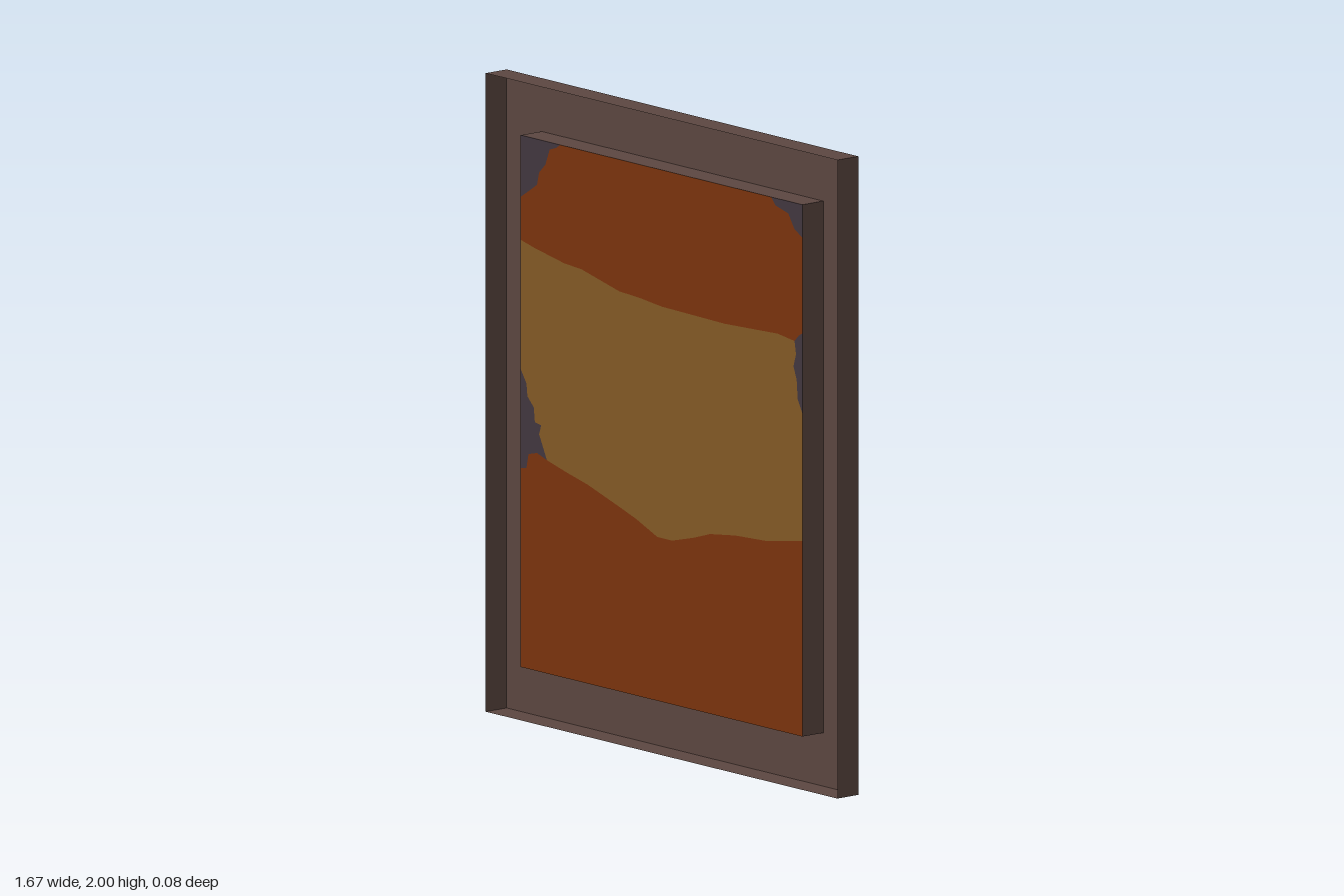
import * as THREE from 'three';
import { mergeGeometries } from 'three/addons/utils/BufferGeometryUtils.js';

const D = 0.042;                 // half depth of the frame
const X = 0.667, B = 0.167, T = 1.833; // canvas half width, bottom, top

const material = (name, color) => {
  const m = new THREE.MeshStandardMaterial({ color, side: THREE.DoubleSide });
  m.name = name;
  return m;
};

const shapeOf = (pts) => new THREE.Shape(pts.map(([x, y]) => new THREE.Vector2(x, y)));
const rect = (w, b, t) => [[-w, b], [w, b], [w, t], [-w, t]];

// Four walls running from back to front around a rectangle
function walls(w, b, t) {
  const h = t - b, mid = (b + t) / 2;
  return [
    new THREE.PlaneGeometry(2 * D, h).rotateY(Math.PI / 2).translate(w, mid, 0),
    new THREE.PlaneGeometry(2 * D, h).rotateY(-Math.PI / 2).translate(-w, mid, 0),
    new THREE.PlaneGeometry(2 * w, 2 * D).rotateX(-Math.PI / 2).translate(0, t, 0),
    new THREE.PlaneGeometry(2 * w, 2 * D).rotateX(Math.PI / 2).translate(0, b, 0),
  ];
}

export function createModel() {
  const group = new THREE.Group();
  group.name = 'framedPainting';
  const wood = material('frameBrown', 0x5c4741);
  const rust = material('rust', 0x7b340d);
  const tan = material('ochre', 0x845a25);
  const grey = material('wornGrey', 0x42373f);

  const add = (name, geometry, mat) => {
    const mesh = new THREE.Mesh(geometry, mat);
    mesh.name = name;
    group.add(mesh);
  };

  // Hollow frame: back ring, outer and inner walls, open at the front
  const ring = shapeOf(rect(0.833, 0, 2));
  ring.holes.push(new THREE.Path(rect(X, B, T).reverse().map(([x, y]) => new THREE.Vector2(x, y))));
  const back = new THREE.ShapeGeometry(ring).rotateY(Math.PI).translate(0, 0, -D);
  add('frame', mergeGeometries([back, ...walls(0.833, 0, 2), ...walls(X, B, T)]), wood);

  // Borders between the painted areas, shared so that they meet exactly
  const bandTop = [[-X, 1.505], [-0.6, 1.49], [-0.46, 1.465], [-0.38, 1.46], [-0.2, 1.42],
    [-0.1, 1.415], [0, 1.405], [0.3, 1.4], [0.55, 1.41]];
  const bandBottom = [[-0.45, 0.812], [-0.35, 0.79], [-0.2, 0.745], [-0.12, 0.72], [-0.02, 0.68],
    [0.05, 0.68], [0.15, 0.705], [0.23, 0.73], [0.35, 0.745], [0.5, 0.752], [X, 0.78]];
  const leftUpper = [[-X, 1.1], [-0.64, 1.06], [-0.635, 1.02], [-0.605, 0.99], [-0.6, 0.945],
    [-0.57, 0.94], [-0.58, 0.91], [-0.56, 0.87], [-0.543, 0.835]];
  const leftLower = [[-0.59, 0.85], [-0.63, 0.84], [-0.64, 0.795], [-X, 0.79]];
  const rightUpper = [[X, 1.43], [0.65, 1.42]];
  const rightLower = [[0.63, 1.4], [0.637, 1.36], [0.625, 1.32], [0.64, 1.28], [0.645, 1.22], [X, 1.18]];
  const cornerLeft = [[-X, 1.64], [-0.62, 1.67], [-0.59, 1.69], [-0.58, 1.73], [-0.55, 1.76],
    [-0.53, 1.81], [-0.5, 1.82], [-0.48, T]];
  const cornerRight = [[0.52, T], [0.54, 1.81], [0.6, 1.795], [0.63, 1.75], [X, 1.73]];
  const tip = leftUpper[leftUpper.length - 1];
  const rev = (a) => [...a].reverse();

  // Painted areas, all in the front plane
  const area = (name, pts, mat) =>
    add(name, new THREE.ShapeGeometry(shapeOf(pts)).translate(0, 0, D), mat);
  area('upperField', [...cornerLeft, ...cornerRight, ...rightUpper, rightLower[0], ...rev(bandTop)], rust);
  area('middleBand', [...bandTop, ...rightLower, ...rev(bandBottom), ...rev(leftUpper)], tan);
  area('lowerField', [...rev(leftLower), tip, ...bandBottom, [X, B], [-X, B]], rust);
  area('wornPatchLeft', [...leftUpper, ...leftLower], grey);
  area('wornPatchRight', [...rightUpper, ...rightLower], grey);
  area('wornCornerLeft', [...cornerLeft, [-X, T]], grey);
  area('wornCornerRight', [...cornerRight, [X, T]], grey);

  return group;
}
